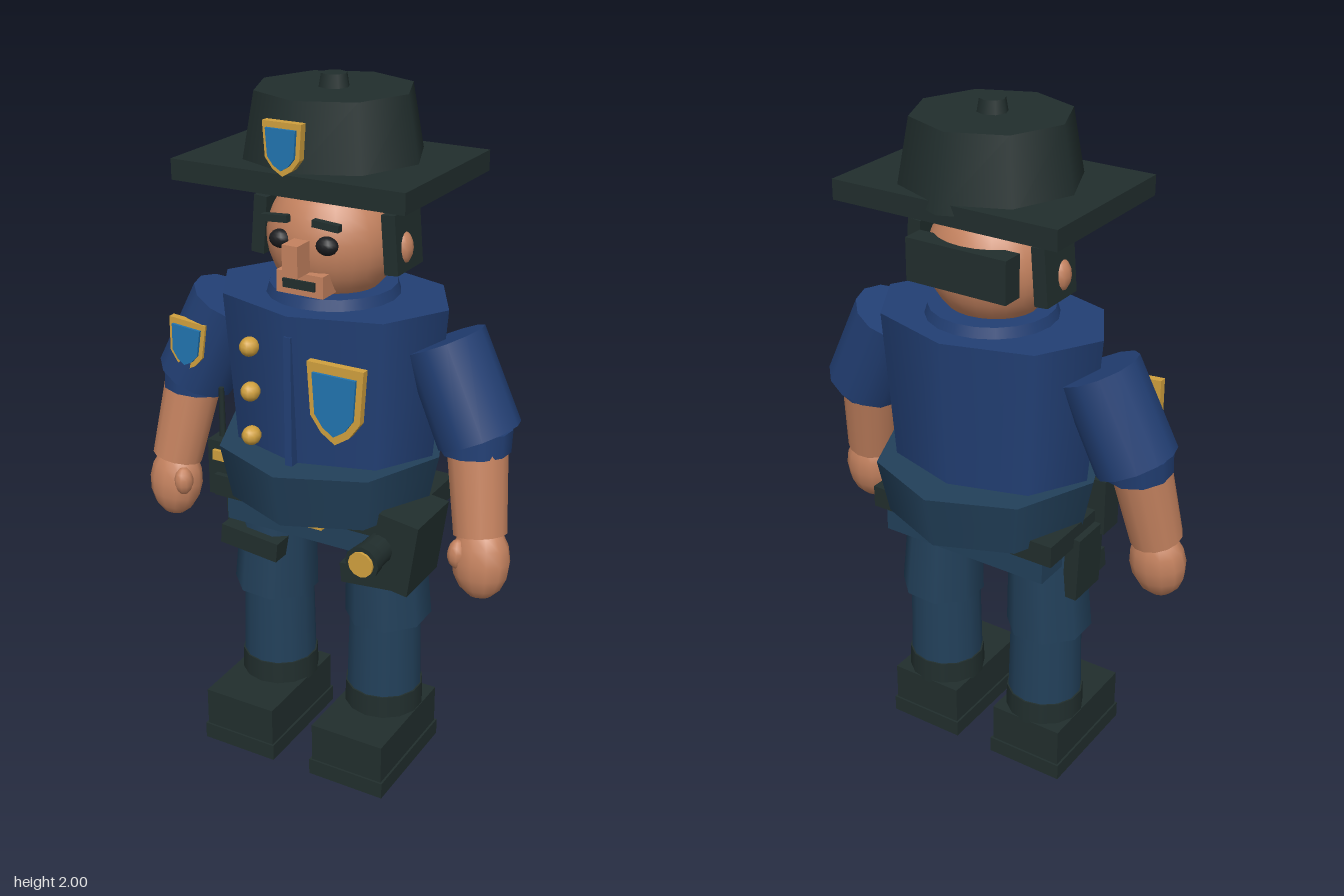
import * as THREE from 'three';

const mat = (name, color) => {
  const m = new THREE.MeshStandardMaterial({ color });
  m.name = name;
  return m;
};

export function createModel() {
  const black = mat('dark leather', 0x212e2d);
  const shirt = mat('navy shirt', 0x223f74);
  const pants = mat('slate trousers', 0x22405a);
  const skin = mat('skin', 0xc4825f);
  const gold = mat('gold', 0xd0a03e);
  const blue = mat('badge blue', 0x2174b0);
  const eyeDark = mat('eye', 0x1c1d20);

  const model = new THREE.Group();
  model.name = 'officer';

  const add = (name, geo, m, x = 0, y = 0, z = 0, rx = 0, ry = 0, rz = 0) => {
    const mesh = new THREE.Mesh(geo, m);
    mesh.name = name;
    mesh.position.set(x, y, z);
    mesh.rotation.set(rx, ry, rz);
    model.add(mesh);
    return mesh;
  };
  const box = (w, h, d) => new THREE.BoxGeometry(w, h, d);
  const ball = (rx, ry, rz, n = 16) => new THREE.SphereGeometry(1, n, Math.round(n * 0.7)).scale(rx, ry, rz);
  const cyl = (rt, rb, h, n = 16) => new THREE.CylinderGeometry(rt, rb, h, n);
  // Cylinder stretched between two points
  const limb = (name, a, b, ra, rb, m, n = 14) => {
    const p = new THREE.Vector3(...a), q = new THREE.Vector3(...b);
    const mesh = add(name, cyl(ra, rb, p.distanceTo(q), n), m);
    mesh.position.copy(p).add(q).multiplyScalar(0.5);
    mesh.quaternion.setFromUnitVectors(new THREE.Vector3(0, 1, 0), p.sub(q).normalize());
  };
  // Shield badge: gold backing and blue face
  const badge = (name, w, h, x, y, z, rz = 0) => {
    const group = new THREE.Group();
    group.name = name;
    const plate = (k, depth, m, dz, part) => {
      const a = w / 2 * k, b = h / 2 * k;
      const s = new THREE.Shape([[-a, b], [a, b], [a * 0.88, -b * 0.35], [a * 0.5, -b * 0.75], [0, -b],
        [-a * 0.5, -b * 0.75], [-a * 0.88, -b * 0.35]].map(([u, v]) => new THREE.Vector2(u, v)));
      const mesh = new THREE.Mesh(new THREE.ExtrudeGeometry(s, { depth, bevelEnabled: false }), m);
      mesh.position.z = dz;
      mesh.name = part;
      group.add(mesh);
    };
    plate(1, 0.022, gold, 0, 'badgeRim');
    plate(0.77, 0.008, blue, 0.022, 'badgeFace');
    group.position.set(x, y, z);
    group.rotation.z = rz;
    model.add(group);
  };

  // Hat
  add('hatBrim', box(0.678, 0.056, 0.49), black, 0, 1.763, 0.01);
  add('hatCrown', cyl(0.213, 0.25, 0.2, 8), black, 0, 1.865, -0.003);
  add('hatButton', cyl(0.035, 0.042, 0.04, 8), black, 0, 1.98, 0);
  badge('hatBadge', 0.112, 0.135, 0, 1.855, 0.238);

  // Head and face
  add('head', ball(0.182, 0.18, 0.17, 24), skin, 0, 1.575, 0.003);
  add('nose', box(0.046, 0.085, 0.065), skin, 0, 1.56, 0.198);
  add('chin', box(0.14, 0.06, 0.07), skin, 0, 1.485, 0.147);
  add('mouth', box(0.096, 0.024, 0.008), black, 0, 1.485, 0.185);
  add('backHair', box(0.31, 0.12, 0.065), black, 0, 1.592, -0.142);
  for (const s of [-1, 1]) {
    add('eye', ball(0.031, 0.025, 0.025, 12), eyeDark, s * 0.07, 1.593, 0.16);
    add('eyebrow', box(0.078, 0.019, 0.02), black, s * 0.076, 1.651, 0.172, 0, 0, -s * 0.07);
    add('sideHair', box(0.04, 0.16, 0.145), black, s * 0.198, 1.586, -0.012, 0, 0, s * 0.08);
    add('ear', ball(0.036, 0.05, 0.037, 12), skin, s * 0.2, 1.568, 0.004);
  }

  // Torso, collar and jacket hem
  add('shirtBody', cyl(0.345, 0.308, 0.448, 8).scale(1, 1, 0.725), shirt, 0, 1.194, 0);
  add('collar', cyl(0.175, 0.19, 0.05, 20), shirt, 0, 1.422, 0);
  add('placket', box(0.022, 0.37, 0.03), shirt, 0, 1.175, 0.235);
  add('jacketHem', cyl(0.33, 0.297, 0.16, 8), pants, 0, 0.91, 0);
  badge('chestBadge', 0.168, 0.222, 0.148, 1.2, 0.236);
  for (const y of [1.3, 1.17, 1.04]) add('button', ball(0.027, 0.027, 0.03, 10), gold, -0.134, y, 0.222);

  // Belt and what hangs from it
  add('pelvis', box(0.53, 0.13, 0.31), pants, 0, 0.785, 0);
  add('belt', box(0.6, 0.065, 0.335), black, 0, 0.825, 0);
  add('buckle', box(0.128, 0.045, 0.03), gold, 0, 0.8, 0.17);
  add('holster', box(0.12, 0.22, 0.19), black, 0.285, 0.757, 0.085, 0, 0, -0.14);
  add('torchBody', cyl(0.043, 0.043, 0.16, 12), black, 0.24, 0.767, 0.19, Math.PI / 2);
  add('torchHead', cyl(0.05, 0.046, 0.04, 12), black, 0.24, 0.767, 0.255, Math.PI / 2);
  add('torchLens', cyl(0.037, 0.037, 0.008, 12), gold, 0.24, 0.767, 0.279, Math.PI / 2);
  add('sidePouch', box(0.045, 0.2, 0.13), black, -0.293, 0.72, 0.02, 0, 0, 0.04);
  add('radio', box(0.06, 0.17, 0.08), black, -0.3, 0.87, 0.11);
  add('radioAntenna', cyl(0.008, 0.01, 0.17, 8), black, -0.305, 1.02, 0.11);
  add('radioDial', box(0.04, 0.03, 0.02), gold, -0.288, 0.915, 0.152);

  for (const s of [-1, 1]) {
    // Sleeve, cuff, forearm and hand
    limb('sleeve', [s * 0.335, 1.335, 0], [s * 0.452, 1.088, 0.012], 0.113, 0.117, shirt, 12);
    limb('cuff', [s * 0.445, 1.112, 0.024], [s * 0.45, 1.05, 0.03], 0.1, 0.095, shirt, 10);
    limb('forearm', [s * 0.45, 1.1, 0.025], [s * 0.493, 0.835, 0.075], 0.085, 0.074, skin);
    add('hand', ball(0.083, 0.112, 0.068, 12), skin, s * 0.5, 0.757, 0.078, -0.12, 0, s * 0.06);
    add('thumb', ball(0.028, 0.043, 0.03, 10), skin, s * 0.447, 0.777, 0.115);

    // Leg, boot and thigh strap
    add('thigh', cyl(0.11, 0.126, 0.3, 8), pants, s * 0.183, 0.618, 0.015, 0, Math.PI / 8, s * 0.04);
    add('shin', cyl(0.104, 0.112, 0.36, 14), pants, s * 0.18, 0.34, 0.015);
    add('bootCuff', cyl(0.115, 0.117, 0.075, 14), black, s * 0.18, 0.2, 0.015);
    add('boot', box(0.228, 0.12, 0.35), black, s * 0.182, 0.109, 0.077);
    add('bootSole', box(0.24, 0.05, 0.362), black, s * 0.182, 0.025, 0.077);
    add('thighStrap', box(0.19, 0.06, 0.1), black, s * 0.2, 0.65, 0.1, 0, 0, s * 0.1);
  }
  badge('sleevePatch', 0.122, 0.15, -0.412, 1.215, 0.098, -0.08);

  model.position.x = -0.003;
  return model;
}
